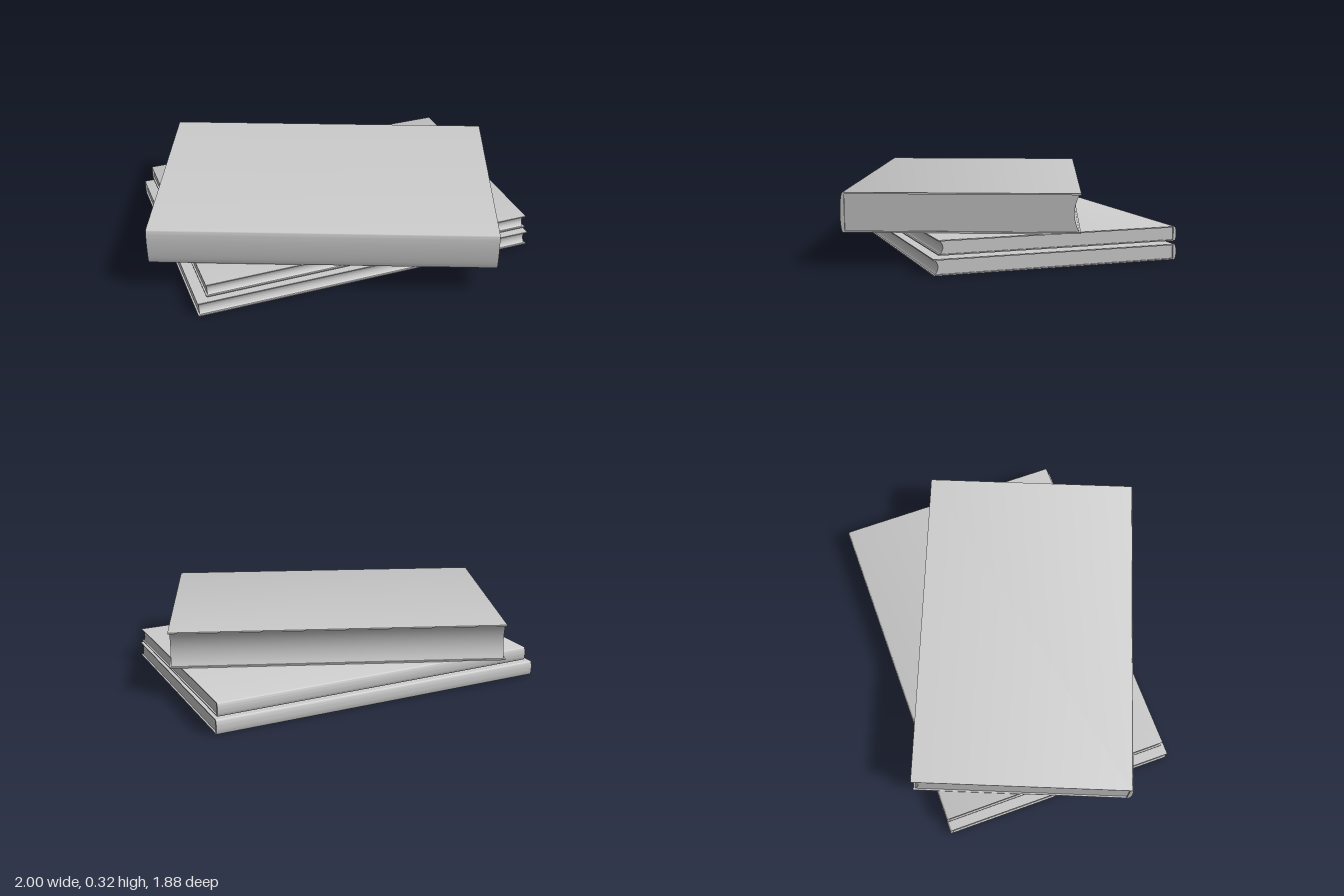
import * as THREE from 'three';
import { toCreasedNormals } from 'three/addons/utils/BufferGeometryUtils.js';

const material = new THREE.MeshStandardMaterial({ color: 0xcccccc });

// Extrude a cross-section along the book's length, centred, smooth along curves
function extrude(shape, length, name) {
  let geo = new THREE.ExtrudeGeometry(shape, { depth: length, bevelEnabled: false, curveSegments: 12 });
  geo.translate(0, 0, -length / 2);
  geo = toCreasedNormals(geo, 0.7);
  const mesh = new THREE.Mesh(geo, material);
  mesh.name = name;
  return mesh;
}

// A closed book lying flat: spine at local -x, fore-edge at +x, length along z
function makeBook({ name, width, length, height, cover, bulge, inset, hollow, position, toForeEdge }) {
  const book = new THREE.Group();
  book.name = name;
  const back = -width / 2 + bulge, front = width / 2, h = height;

  // C-shaped cover with a gently rounded spine
  const c = new THREE.Shape();
  c.moveTo(front, 0);
  c.lineTo(front, cover);
  c.lineTo(back + cover, cover);
  c.lineTo(back + cover, h - cover);
  c.lineTo(front, h - cover);
  c.lineTo(front, h);
  c.lineTo(back, h);
  c.absellipse(back, h / 2, bulge, h / 2, Math.PI / 2, Math.PI * 1.5, false);
  c.lineTo(front, 0);
  book.add(extrude(c, length, 'cover'));

  // Page block with a hollowed fore-edge, set in from the cover
  const edge = front - inset;
  const p = new THREE.Shape();
  p.moveTo(back + cover, cover);
  p.lineTo(edge, cover);
  p.quadraticCurveTo(edge - hollow * 2, h / 2, edge, h - cover);
  p.lineTo(back + cover, h - cover);
  p.closePath();
  book.add(extrude(p, length - inset * 2, 'pages'));

  book.position.set(...position);
  book.rotation.y = Math.atan2(-toForeEdge[1], toForeEdge[0]);
  return book;
}

export function createModel() {
  const group = new THREE.Group();
  group.name = 'bookStack';
  const thin = { cover: 0.005, bulge: 0.01, inset: 0.008, hollow: 0.013 };
  group.add(
    makeBook({ ...thin, name: 'bottomBook', width: 1.13, length: 1.65, height: 0.07,
      position: [0, 0, 0], toForeEdge: [0.66, 0.92] }),
    makeBook({ ...thin, name: 'middleBook', width: 1.11, length: 1.6, height: 0.065,
      position: [0.01, 0.084, -0.02], toForeEdge: [0.65, 0.9] }),
    makeBook({ name: 'topBook', width: 1.04, length: 1.58, height: 0.175,
      cover: 0.007, bulge: 0.012, inset: 0.008, hollow: 0.02,
      position: [0.02, 0.149, 0.12], toForeEdge: [-0.245, -1.005] }),
  );
  return group;
}
